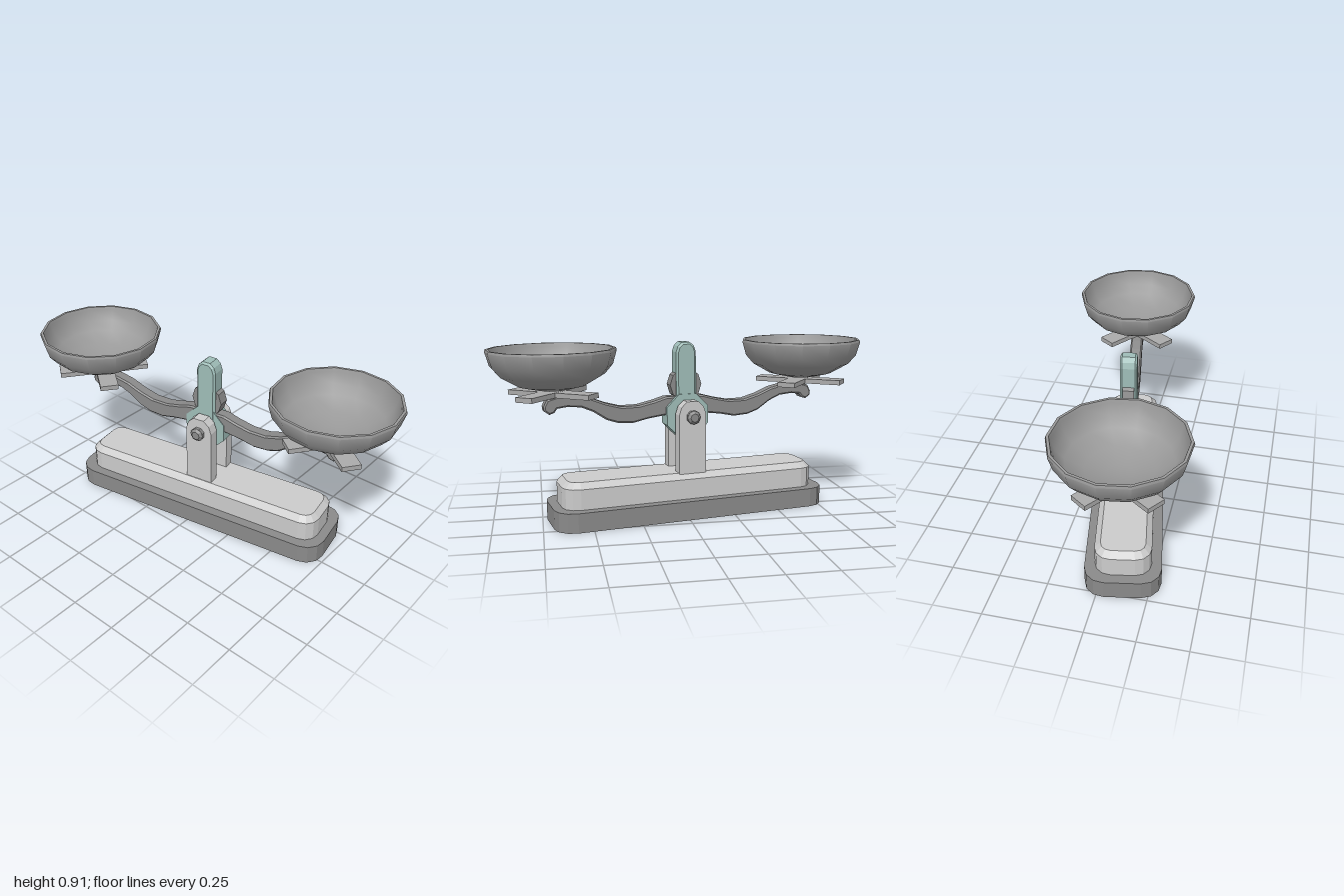
import * as THREE from 'three';
import { toCreasedNormals } from 'three/addons/utils/BufferGeometryUtils.js';

const paint = (color, flatShading = false) => new THREE.MeshStandardMaterial({ color, flatShading });
const LIGHT = paint(0xcccccc, true);
const DARK = paint(0x8a8a8a, true);
const STEEL = paint(0x999999);
const TEAL = paint(0x9fbdb8, true);
const CROSS = paint(0xaaaaaa, true);

function add(parent, name, geometry, material, x = 0, y = 0, z = 0) {
  const mesh = new THREE.Mesh(geometry, material);
  mesh.name = name;
  mesh.position.set(x, y, z);
  parent.add(mesh);
  return mesh;
}

// Outline in x/y, extruded and centred on z
function slab(points, depth, bevel = 0) {
  const shape = new THREE.Shape(points.map(([x, y]) => new THREE.Vector2(x, y)));
  const geo = new THREE.ExtrudeGeometry(shape, {
    depth: depth - 2 * bevel, bevelEnabled: bevel > 0, bevelSize: bevel,
    bevelThickness: bevel, bevelOffset: -bevel, bevelSegments: 1,
  });
  return geo.translate(0, 0, -depth / 2 + bevel);
}

// Outline of a rectangle with rounded corners
function roundedOutline(length, width, r, steps = 3) {
  const pts = [];
  [[1, 1], [-1, 1], [-1, -1], [1, -1]].forEach(([sx, sy], q) => {
    for (let i = 0; i <= steps; i++) {
      const a = (q + i / steps) * Math.PI / 2;
      pts.push([sx * (length / 2 - r) + r * Math.cos(a), sy * (width / 2 - r) + r * Math.sin(a)]);
    }
  });
  return pts;
}

// Horizontal tier; the chamfer runs round the top edge only
function tier(length, width, r, height, chamfer) {
  const geo = slab(roundedOutline(length, width, r), height, chamfer);
  const p = geo.attributes.position;
  if (chamfer) {
    for (let i = 0; i < p.count; i++) {
      if (p.getZ(i) < 0) p.setZ(i, -height / 2);
    }
  }
  return geo.rotateX(-Math.PI / 2).translate(0, height / 2, 0);
}

// Cylinder lying along z
const disc = (r, depth, sides) =>
  new THREE.CylinderGeometry(r, r, depth, sides).rotateY(Math.PI / sides).rotateX(Math.PI / 2);

function createPan(side) {
  const pan = new THREE.Group();
  pan.name = side > 0 ? 'leftPan' : 'rightPan';
  // Shallow bowl with a thin rim
  const profile = [
    [0, 0.687], [0.06, 0.69], [0.17, 0.715], [0.262, 0.768], [0.302, 0.815], [0.322, 0.885], [0.318, 0.897],
    [0.305, 0.897], [0.3, 0.88], [0.282, 0.82], [0.245, 0.78], [0.16, 0.733], [0.06, 0.708], [0, 0.705],
  ].map(([x, y]) => new THREE.Vector2(x, y));
  add(pan, 'bowl', toCreasedNormals(new THREE.LatheGeometry(profile, 14), 0.7), STEEL);
  // Crossed support bars, set diagonally to the beam
  for (const turn of [1, -1]) {
    const bar = add(pan, 'supportBar', new THREE.BoxGeometry(0.475, 0.025, 0.095), CROSS, 0, 0.672 - (turn > 0 ? 0 : 0.0005), 0);
    bar.rotation.y = turn * Math.PI / 4;
  }
  pan.position.x = side * 0.685;
  return pan;
}

export function createModel() {
  const model = new THREE.Group();
  model.name = 'balanceScale';

  // Base and posts
  const stand = new THREE.Group();
  stand.name = 'stand';
  stand.rotation.y = THREE.MathUtils.degToRad(10);
  model.add(stand);
  add(stand, 'lowerBase', tier(1.49, 0.38, 0.1, 0.1, 0), DARK, -0.022, 0, -0.005);
  add(stand, 'upperBase', tier(1.39, 0.28, 0.08, 0.135, 0.03), LIGHT, -0.02, 0.1, -0.005);
  const postOutline = [[-0.074, 0.22], [0.074, 0.22], [0.074, 0.54], [0.06, 0.58], [0.03, 0.608], [-0.03, 0.608], [-0.06, 0.58], [-0.074, 0.54]];
  for (const s of [1, -1]) {
    add(stand, s > 0 ? 'frontPost' : 'backPost', slab(postOutline, 0.057), LIGHT, -0.005, 0, s * 0.083 - 0.01);
    add(stand, 'bolt', disc(0.036, 0.02, 8), DARK, -0.005, 0.527, s * 0.121 - 0.01);
    add(stand, 'boltHead', new THREE.CylinderGeometry(0.022, 0.036, 0.012, 8).rotateX(s * Math.PI / 2), DARK, -0.005, 0.527, s * 0.137 - 0.01);
  }
  add(stand, 'axle', disc(0.025, 0.2, 8), DARK, -0.005, 0.527, -0.01);

  // Balance beam with hub, pointer and pans, tipped very slightly
  const beam = new THREE.Group();
  beam.name = 'balance';
  beam.rotation.set(0, THREE.MathUtils.degToRad(8.8), -0.006);
  model.add(beam);

  // One arm's outline: upper edge outward, hooked tip, lower edge back
  const arm = [
    [0, 0.625], [0.1, 0.625], [0.17, 0.605], [0.25, 0.588], [0.34, 0.588], [0.42, 0.61], [0.5, 0.642], [0.57, 0.657],
    [0.66, 0.662], [0.72, 0.645], [0.738, 0.61], [0.735, 0.588], [0.71, 0.57], [0.685, 0.578], [0.67, 0.598],
    [0.62, 0.604], [0.55, 0.598], [0.49, 0.572], [0.42, 0.525], [0.36, 0.505], [0.28, 0.5], [0.2, 0.517], [0.1, 0.53], [0, 0.53],
  ];
  for (const s of [1, -1]) {
    const outline = arm.map(([x, y]) => [s * x, y]);
    add(beam, s > 0 ? 'leftArm' : 'rightArm', slab(outline, 0.066, 0.008), DARK);
    add(beam, 'panSeat', new THREE.BoxGeometry(0.09, 0.04, 0.06), DARK, s * 0.66, 0.645, 0);
    beam.add(createPan(s));
  }
  add(beam, 'hub', disc(0.122, 0.088, 8), TEAL, -0.008, 0.525, -0.008);
  add(beam, 'collar', disc(0.086, 0.058, 10), DARK, -0.005, 0.685, -0.005);
  const pointer = [
    [-0.054, 0.55], [0.054, 0.55], [0.054, 0.855], [0.044, 0.885], [0.022, 0.905], [-0.022, 0.905], [-0.044, 0.885], [-0.054, 0.855],
  ];
  add(beam, 'pointer', slab(pointer, 0.085, 0.01), TEAL, -0.005, 0, -0.005);
  return model;
}
